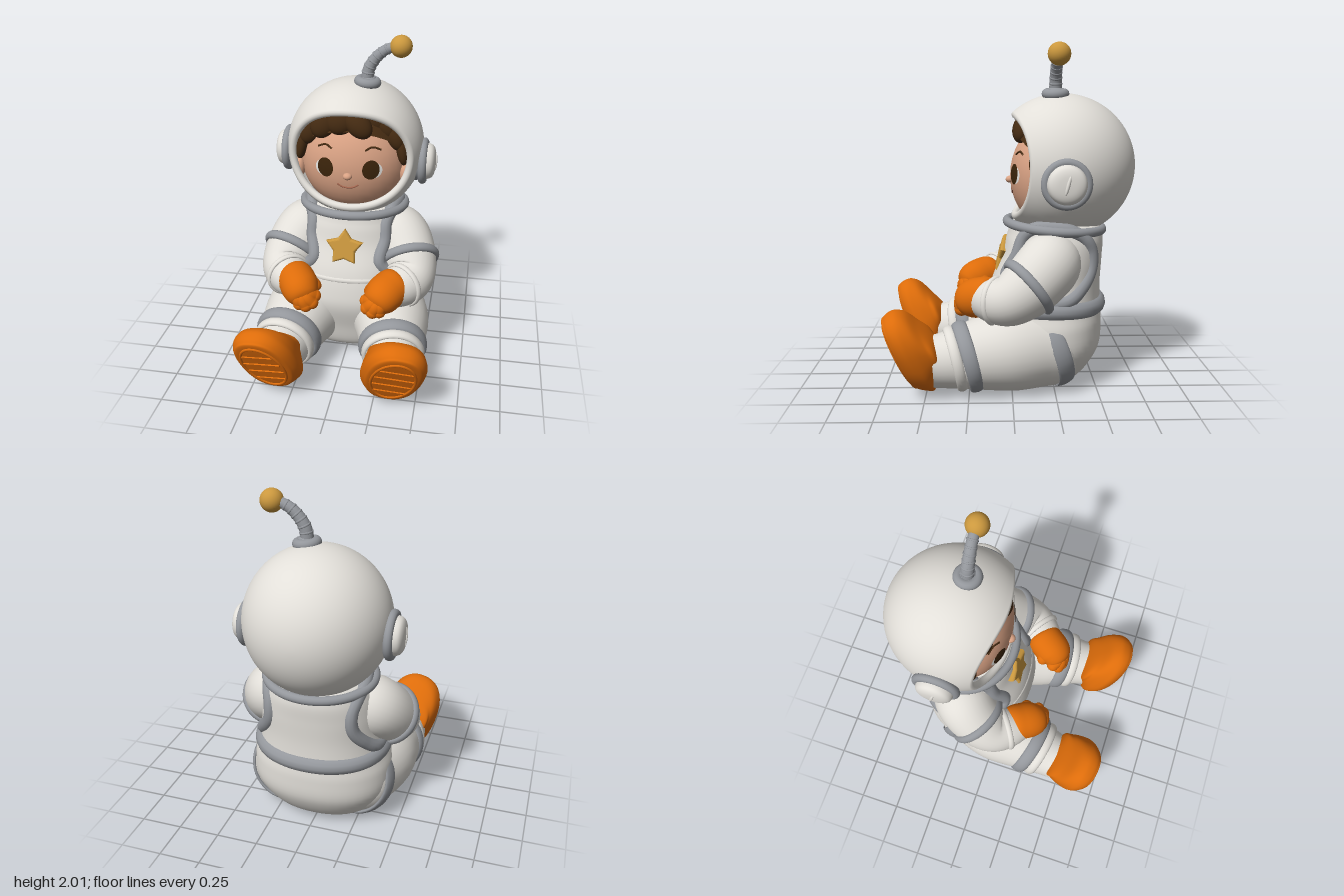
import * as THREE from 'three';
import { mergeVertices } from 'three/addons/utils/BufferGeometryUtils.js';
import { ParametricGeometry } from 'three/addons/geometries/ParametricGeometry.js';

const mat = (name, color, side = THREE.FrontSide) => {
  const m = new THREE.MeshStandardMaterial({ color, side });
  m.name = name;
  return m;
};
const V = (x, y, z) => new THREE.Vector3(x, y, z);

// Weld seams and recompute smooth normals
function smooth(g) {
  g.deleteAttribute('uv');
  g.deleteAttribute('normal');
  const w = mergeVertices(g, 1e-4);
  w.computeVertexNormals();
  return w;
}
// Catmull-Rom interpolation of rows of numbers, t in 0..1
function sample(rows, t) {
  const f = t * (rows.length - 1), i = Math.min(Math.floor(f), rows.length - 2), k = f - i;
  const row = j => rows[Math.max(0, Math.min(rows.length - 1, j))];
  return row(i).map((b, c) => {
    const a = row(i - 1)[c], d = row(i + 1)[c], e = row(i + 2)[c];
    return b + 0.5 * k * (d - a + k * (2 * a - 5 * b + 4 * d - e + k * (3 * (b - d) + e - a)));
  });
}
const sup = (v, n) => Math.sign(v) * Math.abs(v) ** (2 / n);

// Limb: tube with a varying radius; points are [x, y, z, radius]
function limb(pts) {
  const curve = new THREE.CatmullRomCurve3(pts.map(p => V(p[0], p[1], p[2])));
  const radius = u => Math.max(0.002, sample(pts, curve.getUtoTmapping(u))[3]);
  const seg = 48, sides = 32, g = new THREE.TubeGeometry(curve, seg, 1, sides);
  const pos = g.attributes.position, p = V();
  for (let i = 0; i <= seg; i++) {
    const c = curve.getPointAt(i / seg), r = radius(i / seg);
    for (let j = 0; j <= sides; j++) {
      const k = i * (sides + 1) + j;
      p.fromBufferAttribute(pos, k).sub(c).multiplyScalar(r).add(c);
      pos.setXYZ(k, p.x, Math.max(0, p.y), p.z);
    }
  }
  return { geo: smooth(g), curve, radius };
}

// Torso rows: height, half width, centre z, half depth
const TORSO = [[0, 0, -.18, 0], [0, .22, -.18, .16], [.05, .33, -.19, .25], [.2, .42, -.215, .32], [.35, .43, -.202, .35],
  [.46, .4, -.2, .345], [.6, .375, -.215, .328], [.75, .355, -.25, .302], [.88, .32, -.268, .288], [.96, .26, -.27, .24], [.98, 0, -.27, 0]];
function torsoPoint(t, a) {
  const [y, rx, zc, rz] = sample(TORSO, t);
  return V(rx * sup(Math.cos(a), 2.2), Math.max(0, y), zc + rz * sup(Math.sin(a), 2.2));
}
// Point sunk slightly under the torso surface, by height and angle
function torsoAt(y, deg, sink = .95) {
  let i = 1;
  while (TORSO[i + 1][0] < y) i++;
  const k = (y - TORSO[i][0]) / (TORSO[i + 1][0] - TORSO[i][0]);
  const p = torsoPoint((i + k) / (TORSO.length - 1), deg * Math.PI / 180);
  return V(p.x * sink, p.y, -.23 + (p.z + .23) * sink);
}

// Head ellipsoid, used to lay the features on the face
const HEAD = { y: 1.23, z: -.255, rx: .335, ry: .33, rz: .26 };
const faceZ = (x, y) => HEAD.z + HEAD.rz * Math.sqrt(Math.max(0, 1 - (x / HEAD.rx) ** 2 - ((y - HEAD.y) / HEAD.ry) ** 2));

export function createModel() {
  const model = new THREE.Group();
  const suit = mat('suit white', 0xe2dfd9), shell = mat('helmet white', 0xe2dfd9, THREE.DoubleSide);
  const grey = mat('trim grey', 0x94979c), orange = mat('orange', 0xdd6c0a), gold = mat('gold', 0xcb983e);
  const skin = mat('skin', 0xd9a284), hair = mat('hair brown', 0x452b12, THREE.DoubleSide), iris = mat('eye brown', 0x3b240b);
  const eyeWhite = mat('eye white', 0xe8e6e2), lip = mat('mouth', 0xa5664f);

  const add = (name, geo, m, pos = [0, 0, 0], rot = [0, 0, 0], parent = model) => {
    const mesh = new THREE.Mesh(geo, m);
    mesh.name = name;
    mesh.position.set(...pos);
    mesh.rotation.set(...rot);
    parent.add(mesh);
    return mesh;
  };
  const ball = (rx, ry, rz) => new THREE.SphereGeometry(1, 32, 20).scale(rx, ry, rz);
  const tube = (pts, r, closed = false, n = 64) =>
    new THREE.TubeGeometry(new THREE.CatmullRomCurve3(pts, closed), n, r, 12, closed);
  // Ring around a limb; flat stretches it along the limb
  const ring = (name, l, u, r, m, flat = 1, tilt = 0) => {
    const t = add(name, new THREE.TorusGeometry(l.radius(u), r, 14, 40).scale(1, 1, flat), m);
    t.position.copy(l.curve.getPointAt(u));
    t.quaternion.setFromUnitVectors(V(0, 0, 1), l.curve.getTangentAt(u));
    t.rotateX(tilt);
  };

  // Torso, belt and star badge
  add('torso', smooth(new ParametricGeometry((u, v, p) => p.copy(torsoPoint(v, -u * 2 * Math.PI)), 48, 60)), suit);
  const belt = [];
  for (let a = -205; a <= 25; a += 10) belt.push(torsoAt(.465 + .015 * (1 + Math.sin(a * Math.PI / 180)), a, .93));
  add('belt', tube(belt, .055), grey);
  add('waistSeam', tube([30, 50, 70, 90, 110, 130, 150].map(a => torsoAt(.55, a)), .022), suit);
  const star = new THREE.Shape();
  for (let i = 0; i < 10; i++) {
    const r = i % 2 ? .055 : .098, a = Math.PI / 2 + i * Math.PI / 5;
    star[i ? 'lineTo' : 'moveTo'](r * Math.cos(a), r * Math.sin(a));
  }
  star.closePath();
  add('starBadge', new THREE.ExtrudeGeometry(star, { depth: .02, bevelSize: .016, bevelThickness: .016, bevelSegments: 5 }),
    gold, [-.01, .745, .04], [-.25, 0, 0]);

  // Helmet shell with a face opening, rolled rim and neck ring
  const helmet = (th, a) => V(.425 * Math.sin(th) * Math.cos(a), 1.29 + .43 * Math.sin(th) * Math.sin(a), -.305 + .44 * Math.cos(th));
  const rimTheta = a => Math.acos((.195 + .095 * Math.sin(a) ** 2) / .44);
  add('helmet', smooth(new ParametricGeometry((u, v, p) => {
    const a = -u * 2 * Math.PI, t = rimTheta(a);
    p.copy(helmet(t + (Math.PI - t) * v, a));
  }, 64, 40)), shell);
  const rim = [];
  for (let i = 0; i < 32; i++) {
    const a = i * Math.PI / 16;
    rim.push(helmet(rimTheta(a), a).sub(V(.02 * Math.cos(a), .02 * Math.sin(a), .012)));
  }
  add('helmetRim', tube(rim, .0235, true, 96), suit);
  add('neckRing', new THREE.TorusGeometry(.305, .028, 14, 64).scale(1.05, .95, 1), grey, [0, .93, -.265], [Math.PI / 2 - .08, 0, 0]);

  // Antenna
  add('antennaBase', new THREE.TorusGeometry(.052, .03, 14, 32), grey, [.075, 1.715, -.26], [Math.PI / 2, -.12, 0]);
  add('antennaBaseCap', ball(.055, .03, .055), grey, [.075, 1.725, -.26]);
  const stalk = limb([[.07, 1.7, -.26, .038], [.085, 1.8, -.26, .036], [.14, 1.88, -.262, .033], [.2, 1.92, -.265, .03], [.26, 1.935, -.265, .028]]);
  add('antennaStalk', stalk.geo, grey);
  for (let i = 2; i < 8; i++) ring('antennaRib', stalk, i / 9, .003, grey, 2);
  add('antennaBall', ball(.066, .066, .066), gold, [.27, 1.934, -.265]);

  // Head, nose and mouth
  add('head', ball(HEAD.rx, HEAD.ry, HEAD.rz), skin, [0, HEAD.y, HEAD.z]);
  add('nose', ball(.028, .022, .028), skin, [0, 1.205, .004]);
  const stroke = (name, pts, r, m) => add(name, tube(pts.map(([x, y]) => V(x, y, faceZ(x, y))), r, false, 24), m);
  stroke('mouth', [[-.065, 1.15], [-.035, 1.132], [0, 1.127], [.035, 1.132], [.065, 1.15]], .005, lip);

  // Hair cap and fringe: x, y, half length, half width, lean
  add('hairCap', new THREE.SphereGeometry(1, 40, 20, 0, Math.PI * 2, 0, Math.PI / 2).rotateX(-.72).scale(.355, .36, .29), hair, [0, HEAD.y, HEAD.z]);
  for (const [x, y, len, w, lean] of [[-.305, 1.36, .12, .04, -.15], [-.25, 1.44, .1, .07, -.45], [-.16, 1.495, .1, .08, -.6],
    [-.05, 1.525, .1, .085, -.9], [.05, 1.51, .1, .07, .8], [.13, 1.53, .1, .08, .8], [.2, 1.49, .1, .07, .6],
    [.26, 1.43, .1, .06, .4], [.305, 1.36, .12, .04, .15]])
    add('hairLock', ball(w, len, .06), hair, [x, y, Math.max(-.16, faceZ(x, y) + .055)], [-.25, 0, lean]);

  // Flat ellipse laid on the face
  const facePlate = (name, cx, cy, rx, ry, lift, m) => {
    const g = new THREE.RingGeometry(0, 1, 32, 4), p = g.attributes.position;
    for (let i = 0; i < p.count; i++) {
      const x = cx + p.getX(i) * rx, y = cy + p.getY(i) * ry;
      p.setXYZ(i, x, y, faceZ(x, y) + lift);
    }
    g.computeVertexNormals();
    add(name, g, m);
  };

  for (const s of [1, -1]) {
    const side = s > 0 ? 'left' : 'right';
    const mx = pts => pts.map(([x, ...rest]) => [x * s, ...rest]);

    // Eye, brow and ear
    facePlate(side + 'EyeWhite', s * .15, 1.242, .053, .05, .004, eyeWhite);
    facePlate(side + 'Iris', s * .138, 1.248, .05, .06, .007, iris);
    stroke(side + 'Brow', mx([[.1, 1.362], [.14, 1.38], [.19, 1.362]]), .006, hair);
    add(side + 'Ear', ball(.035, .065, .04), skin, [s * .33, 1.18, -.16]);

    // Helmet ear pad
    const pad = new THREE.Group();
    pad.name = side + 'EarPad';
    pad.position.set(s * .42, s > 0 ? 1.215 : 1.25, -.3);
    pad.rotation.y = s * Math.PI / 2;
    model.add(pad);
    add('padRing', new THREE.TorusGeometry(.119, .026, 14, 48), grey, [0, 0, .006], [0, 0, 0], pad);
    add('padBase', new THREE.CylinderGeometry(.115, .125, .07, 48), grey, [0, 0, -.015], [Math.PI / 2, 0, 0], pad);
    const disc = new THREE.SplineCurve([[.112, 0], [.112, .035], [.098, .064], [.06, .08], [0, .085]].map(p => new THREE.Vector2(...p)));
    add('padDisc', new THREE.LatheGeometry(disc.getPoints(20), 40), suit, [0, 0, 0], [Math.PI / 2, 0, 0], pad);
    add('padGrip', ball(.011, .055, .012), suit, [0, 0, .08], [0, 0, -.25], pad);

    // Shoulder seam
    const seam = [[.93, 30], [.88, 44], [.78, 49], [.65, 56], [.55, 30], [.53, -15], [.6, -34], [.7, -46], [.8, -44], [.88, -32], [.93, -8]];
    add(side + 'ShoulderSeam', tube(seam.map(([y, a]) => torsoAt(y, s > 0 ? a : 180 - a)), .042, true, 80), grey);

    // Arm with elbow ring and sleeve fold
    const arm = limb(mx([[.2, .77, -.25, .16], [.3, .735, -.21, .185], [.38, .62, -.085, .172], [.395, .555, .02, .148],
      [.345, .54, .11, .128], [.28, .54, .19, .1]]));
    add(side + 'Arm', arm.geo, suit);
    ring(side + 'ElbowRing', arm, .46, .022, grey, 1.3);
    ring(side + 'WristFold', arm, .8, .012, suit, 1.5);

    // Glove with fingers and thumb
    const glove = limb(mx([[.34, .56, .1, .03], [.32, .558, .12, .105], [.28, .545, .18, .117], [.24, .525, .24, .11], [.205, .505, .28, .075], [.185, .49, .305, .003]]));
    add(side + 'Glove', glove.geo, orange);
    for (const [x, y, z] of [[.245, .465, .295], [.205, .46, .3], [.17, .475, .285], [.16, .505, .25]]) {
      const f = limb(mx([[.26, .54, .22, .04], [(x + .25) / 2, (y + .55) / 2, (z + .28) / 2, .048], [x, y, z, .04]]));
      add(side + 'Finger', f.geo, orange);
      add(side + 'Fingertip', ball(.04, .04, .04), orange, [s * x, y, z]);
    }
    add(side + 'Thumb', ball(.038, .065, .045), orange, [s * .19, .55, .18], [.3, 0, -s * .9]);

    // Leg with hip strap, knee ring and fold
    const leg = limb(mx([[.15, .24, -.42, .04], [.16, .24, -.39, .13], [.19, .235, -.28, .225], [.235, .237, -.14, .242], [.285, .235, .02, .243],
      [.315, .217, .18, .212], [.335, .2, .3, .18], [.35, .19, .4, .16], [.36, .185, .47, .15]]));
    add(side + 'Leg', leg.geo, suit);
    ring(side + 'HipStrap', leg, .235, .015, grey, 3.4, .36);
    ring(side + 'KneeRing', leg, .765, .022, grey, 2, .12);
    ring(side + 'KneeFold', leg, .845, .02, suit, 1.6, .12);

    // Boot: rows of depth, centre height, half width, half length from sole to ankle
    const boot = new THREE.Group();
    boot.name = side + 'Boot';
    boot.position.set(s * .38, .24, .655);
    boot.rotation.set(.42, s * .05, -s * .26);
    model.add(boot);
    const rows = [[0, 0, 0, 0], [0, 0, .13, .205], [-.02, 0, .165, .237], [-.06, -.01, .185, .257], [-.1, -.025, .182, .265],
      [-.14, -.02, .172, .222], [-.175, -.03, .16, .155], [-.21, -.04, .14, .085], [-.235, -.03, 0, 0]];
    add('bootBody', smooth(new ParametricGeometry((u, v, p) => {
      const [z, cy, rx, ry] = sample(rows, v), a = -u * 2 * Math.PI;
      p.set(rx * sup(Math.cos(a), 2.3), cy + ry * sup(Math.sin(a), 2.3), z);
    }, 48, 48)), orange, [0, 0, 0], [0, 0, 0], boot);
    const edge = [];
    for (let i = 0; i < 20; i++) edge.push(V(.125 * Math.cos(i * Math.PI / 10), .195 * Math.sin(i * Math.PI / 10), 0));
    add('soleEdge', tube(edge, .009, true), orange, [0, 0, 0], [0, 0, 0], boot);
    for (const y of [-.12, -.045, .03, .105])
      add('soleTread', new THREE.BoxGeometry(.23 * Math.sqrt(1 - (y / .2) ** 2), .014, .014), orange, [0, y, .002], [0, 0, s * .08], boot);
  }
  return model;
}
